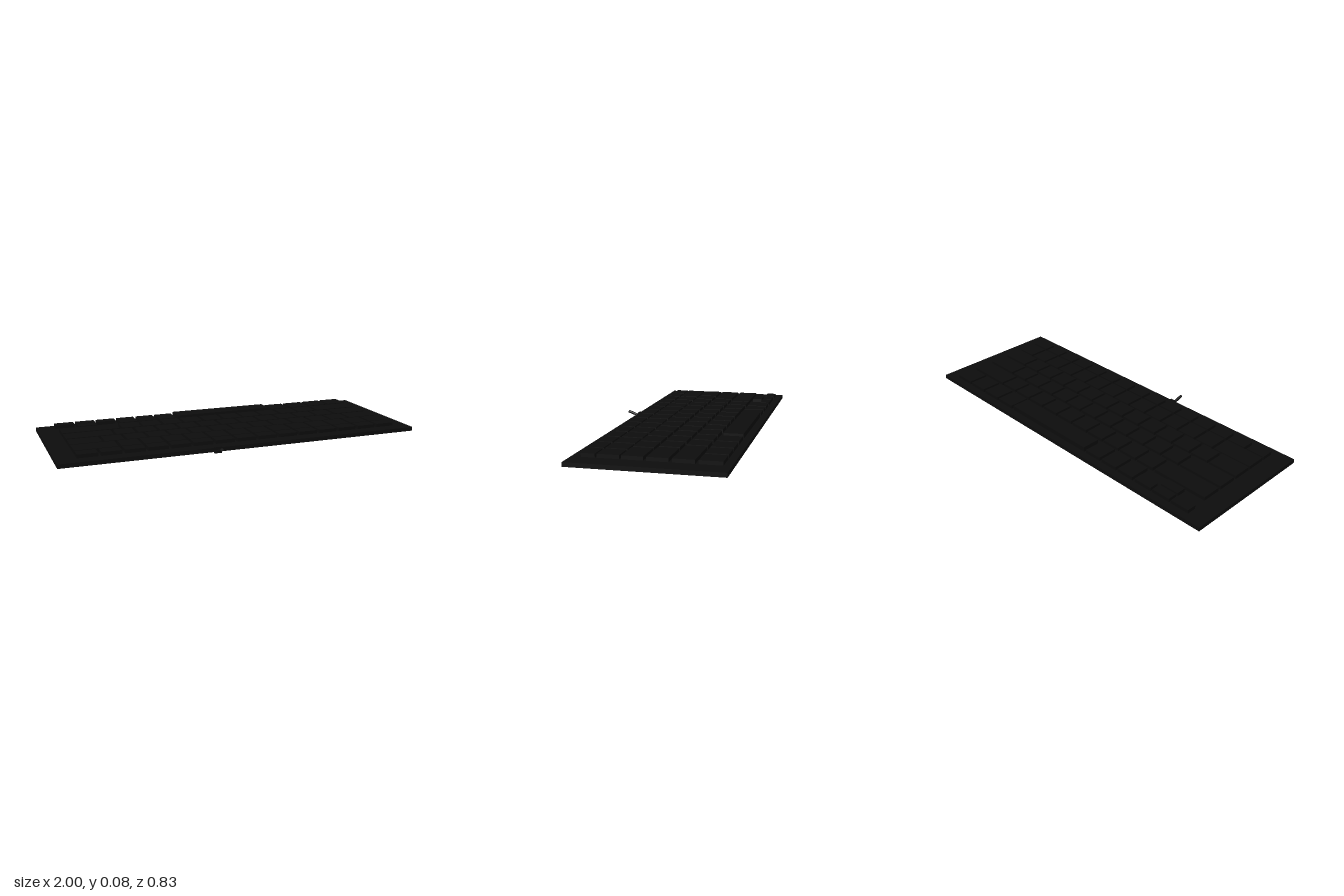
import * as THREE from 'three';

const black = new THREE.MeshStandardMaterial({ color: 0x0c0c0c });
const grey = new THREE.MeshStandardMaterial({ color: 0xcccccc });

// box given by its lower and upper corners
function box(name, [x0, y0, z0], [x1, y1, z1], material = black) {
  const mesh = new THREE.Mesh(new THREE.BoxGeometry(x1 - x0, y1 - y0, z1 - z0), material);
  mesh.position.set((x0 + x1) / 2, (y0 + y1) / 2, (z0 + z1) / 2);
  mesh.name = name;
  return mesh;
}

const times = (n, w = 1) => Array(n).fill(w);
const LEFT = 0.905, UNIT = 0.121, GAP = 0.015, KEY_BOTTOM = 0.056, KEY_TOP = 0.075;

// rows run from the typist's left (+x) to right (-x); widths in key units
const rows = [
  { name: 'functionKey', z: [0.222, 0.29], widths: times(15) },
  { name: 'numberKey', z: [0.105, 0.213], widths: [...times(13), 2] },
  { name: 'upperLetterKey', z: [-0.008, 0.096], widths: [1.5, ...times(12), 1.5] },
  { name: 'homeLetterKey', z: [-0.127, -0.023], widths: [1.75, ...times(11), 2.25] },
  { name: 'lowerLetterKey', z: [-0.249, -0.143], widths: [2.25, ...times(10), 2.75] },
];

export function createModel() {
  const model = new THREE.Group();
  model.name = 'keyboard';
  model.add(box('baseBoard', [-1, 0.03, -0.413], [1, 0.052, 0.345]));

  // main key rows
  const keys = new THREE.Group();
  keys.name = 'keys';
  for (const { name, z, widths } of rows) {
    let x = LEFT;
    for (const w of widths) {
      keys.add(box(name, [x - w * UNIT + GAP, KEY_BOTTOM, z[0]], [x, KEY_TOP, z[1]]));
      x -= w * UNIT;
    }
  }

  // bottom row: modifiers on both sides of a raised space bar
  const modifier = (right, left) =>
    keys.add(box('modifierKey', [right, KEY_BOTTOM, -0.377], [left, KEY_TOP, -0.265]));
  for (let i = 0; i < 4; i++) modifier(LEFT - (i + 1) * 0.13 + GAP, LEFT - i * 0.13);
  keys.add(box('spaceBar', [-0.2, KEY_BOTTOM, -0.377], [0.38, 0.083, -0.275]));
  for (let i = 0; i < 3; i++) modifier(-0.215 - (i + 1) * 0.115 + GAP, -0.215 - i * 0.115);

  // arrow cluster with half-height keys
  for (let i = 0; i < 3; i++) {
    const x = -0.56 - i * 0.118;
    keys.add(box('arrowKey', [x - 0.106, KEY_BOTTOM, -0.377], [x, KEY_TOP, -0.325]));
    if (i === 1) keys.add(box('arrowKey', [x - 0.106, KEY_BOTTOM, -0.315], [x, KEY_TOP, -0.262]));
  }
  model.add(keys);

  // cable stub with its collar
  model.add(box('cableCollar', [-0.2, 0.023, 0.338], [-0.16, 0.056, 0.349]));
  const cablePath = new THREE.LineCurve3(
    new THREE.Vector3(-0.178, 0.031, 0.336), new THREE.Vector3(-0.183, 0.058, 0.411));
  const cable = new THREE.Mesh(new THREE.TubeGeometry(cablePath, 1, 0.008, 12), black);
  cable.name = 'cable';
  model.add(cable);
  const tip = new THREE.Mesh(new THREE.CircleGeometry(0.008, 12), black);
  tip.name = 'cableEnd';
  tip.position.copy(cablePath.v2);
  tip.quaternion.setFromUnitVectors(new THREE.Vector3(0, 0, 1), cablePath.getTangent(1));
  model.add(tip);

  // foot pad below the board
  model.add(box('foot', [0.66, 0, 0.111], [0.765, 0.02, 0.211], grey));
  return model;
}
